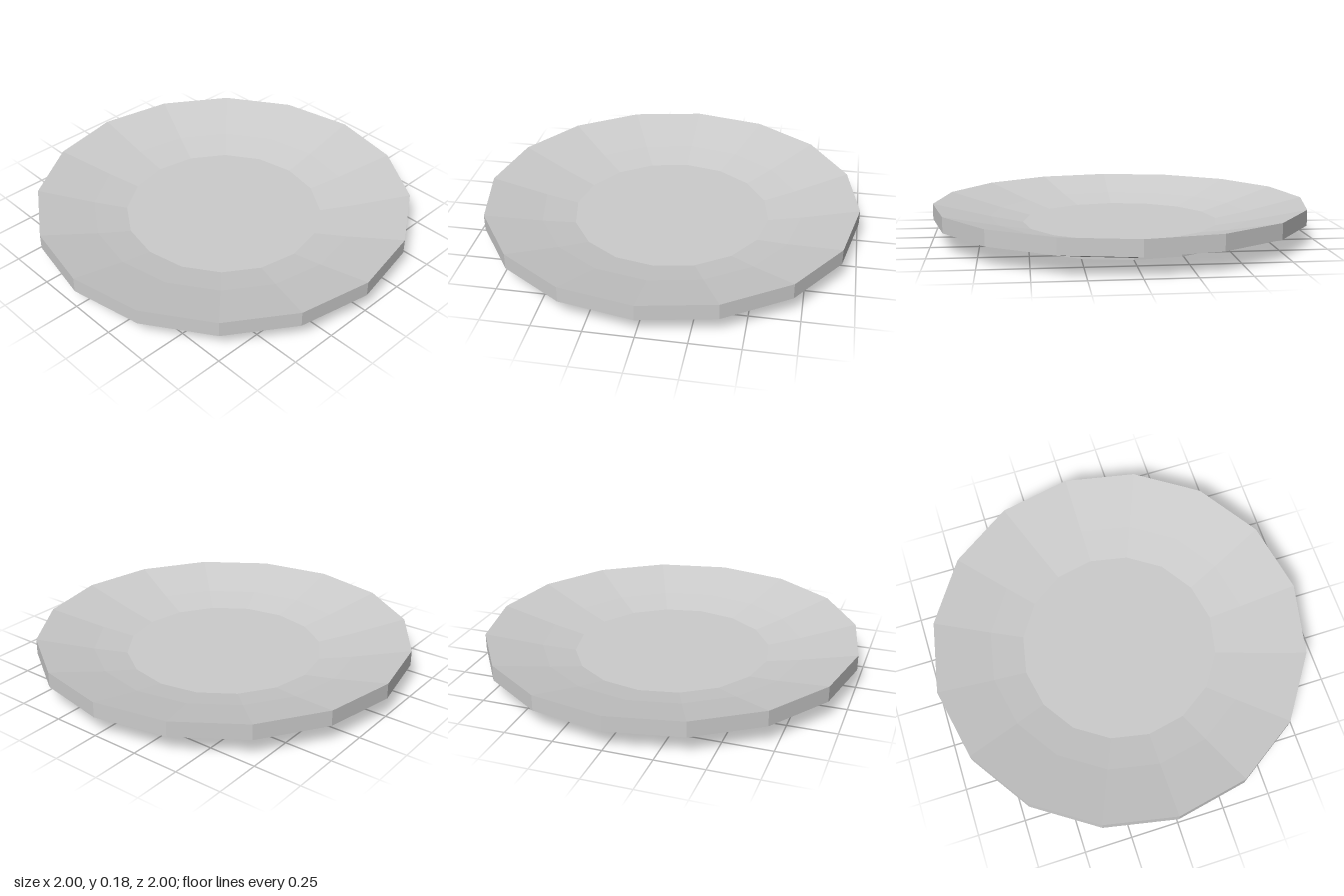
import * as THREE from 'three';

const SIDES = 16;

// Faceted ring surface turned from [radius, height] points
function turned(name, profile, material) {
  const points = profile.map(([r, y]) => new THREE.Vector2(r, y));
  const mesh = new THREE.Mesh(new THREE.LatheGeometry(points, SIDES), material);
  mesh.name = name;
  return mesh;
}

export function createModel() {
  const group = new THREE.Group();
  group.name = 'plate';

  const ceramic = new THREE.MeshStandardMaterial({ color: 0xcccccc });
  ceramic.name = 'light grey ceramic';
  ceramic.flatShading = true;

  // Underside, sloping out to the rim
  group.add(turned('underside', [[0, 0.027], [0.7, 0.027], [1, 0.1]], ceramic));

  // Upright outer band of the rim
  group.add(turned('rim', [[1, 0.1], [1, 0.182]], ceramic));

  // Inner slope in two gentle steps, down to the flat well
  group.add(turned('innerSlope', [[1, 0.182], [0.7, 0.11], [0.525, 0.075]], ceramic));
  group.add(turned('well', [[0.525, 0.075], [0, 0.075]], ceramic));

  // Foot ring beneath the plate
  group.add(turned('footRing', [[0.527, 0.027], [0.527, 0], [0.632, 0], [0.632, 0.027]], ceramic));

  return group;
}
